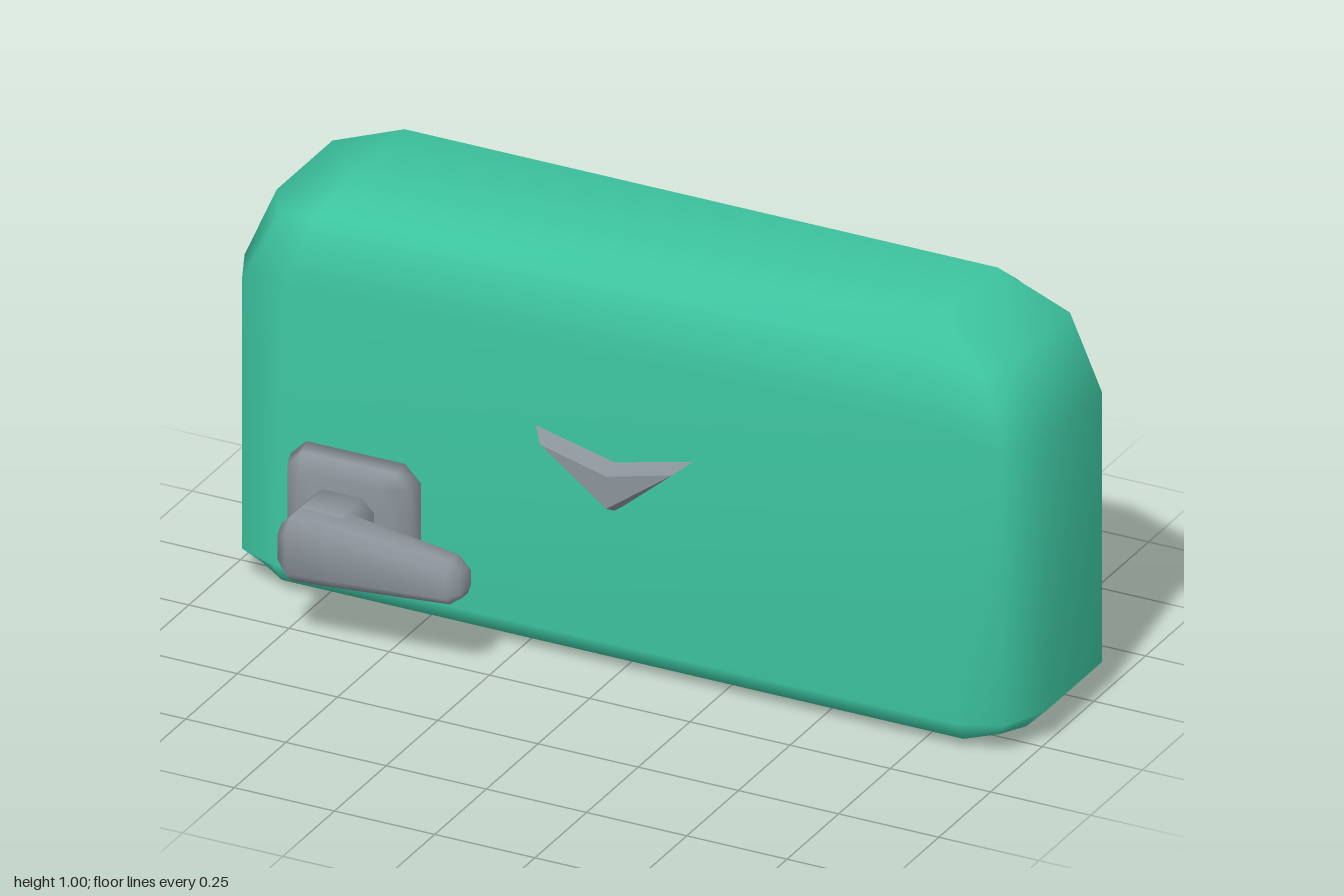
import * as THREE from 'three';
import { mergeVertices } from 'three/addons/utils/BufferGeometryUtils.js';

// Skins a list of rings (counter-clockwise seen from the last ring) and caps both ends.
function loft(rings, flat = false) {
  const n = rings[0].length, last = (rings.length - 1) * n, index = [];
  for (let i = 0; i < rings.length - 1; i++) {
    for (let j = 0; j < n; j++) {
      const a = i * n + j, b = i * n + (j + 1) % n;
      index.push(a, b, b + n, a, b + n, a + n);
    }
  }
  for (let j = 1; j < n - 1; j++) {
    index.push(0, j + 1, j, last, last + j, last + j + 1);
  }
  let geo = new THREE.BufferGeometry();
  geo.setAttribute('position', new THREE.Float32BufferAttribute(rings.flat(2), 3));
  geo.setIndex(index);
  geo = flat ? geo.toNonIndexed() : mergeVertices(geo);
  geo.computeVertexNormals();
  return geo;
}

// Rectangle with chamfered corners
const octagon = (u0, u1, v0, v1, c) => [
  [u0 + c, v0], [u1 - c, v0], [u1, v0 + c], [u1, v1 - c],
  [u1 - c, v1], [u0 + c, v1], [u0, v1 - c], [u0, v0 + c],
];

// One horizontal ring of the tank, given its corner as [x, y, zFront, zBack]:
// side point, diagonal point, front/back point
function tankRing(side, diag, end) {
  const place = (sx, back) => ([x, y, zf, zb]) => [sx * x, y, back ? zb : zf];
  const corner = [side, diag, end], reversed = [end, diag, side];
  return [
    ...corner.map(place(1, true)), ...reversed.map(place(-1, true)),
    ...corner.map(place(-1, false)), ...reversed.map(place(1, false)),
  ];
}

export function createModel() {
  const model = new THREE.Group();
  const green = new THREE.MeshStandardMaterial({ color: 0x3dc5a0 });
  green.name = 'tankGreen';
  const grey = new THREE.MeshStandardMaterial({ color: 0x8b939a });
  grey.name = 'metalGrey';

  const add = (name, geometry, material, parent = model) => {
    const mesh = new THREE.Mesh(geometry, material);
    mesh.name = name;
    parent.add(mesh);
  };

  // Tank body, soft corners all round
  const inner = [-0.02, -0.29], half = [0.05, -0.325], mid = [0.09, -0.34], outer = [0.13, -0.37];
  const bottom = [0.85, 0, ...inner], top = [0.74, 1, ...inner];
  add('tankBody', loft([
    tankRing(bottom, bottom, bottom),
    tankRing([0.95, 0.03, ...inner], [0.92, 0.035, ...half], [0.85, 0.025, ...mid]),
    tankRing([1, 0.08, ...inner], [0.95, 0.08, ...mid], [0.85, 0.08, ...outer]),
    tankRing([1, 0.75, ...inner], [0.95, 0.75, ...mid], [0.82, 0.8, ...outer]),
    tankRing([0.92, 0.93, ...inner], [0.88, 0.91, ...half], [0.76, 0.955, ...mid]),
    tankRing(top, top, top),
  ]), green);

  // Flush handle: wall plate, stem and tapered lever
  const handle = new THREE.Group();
  handle.name = 'flushHandle';
  model.add(handle);
  const plate = [[0.12, 0, 0.04], [0.165, 0.012, 0.037], [0.188, 0.05, 0.03]];
  add('handlePlate', loft(plate.map(([z, i, c]) =>
    octagon(-0.81 + i, -0.48 - i, 0.09 + i, 0.41 - i, c).map(([x, y]) => [x, y, z]))), grey, handle);
  add('handleStem', loft([0.15, 0.29].map((z) =>
    octagon(-0.73, -0.57, 0.17, 0.33, 0.03).map(([x, y]) => [x, y, z]))), grey, handle);
  const lever = [ // x, half height, z back, z front, chamfer
    [-0.73, 0.05, 0.24, 0.345, 0.02], [-0.7, 0.08, 0.22, 0.367, 0.03],
    [-0.6, 0.075, 0.228, 0.364, 0.03], [-0.31, 0.054, 0.265, 0.348, 0.022],
    [-0.28, 0.032, 0.282, 0.335, 0.014],
  ];
  add('handleLever', loft(lever.map(([x, h, z0, z1, c]) =>
    octagon(0.25 - h, 0.25 + h, z0, z1, c).map(([y, z]) => [x, y, z]))), grey, handle);

  // Raised chevron with bevelled sides
  const chevron = (w, notch, tip, point, z) =>
    [[0, notch, z], [-w, tip, z], [0, point, z], [w, tip, z]];
  add('chevron', loft([
    chevron(0.2, 0.535, 0.583, 0.41, 0.125),
    chevron(0.165, 0.515, 0.557, 0.435, 0.17),
  ], true), grey);

  return model;
}
